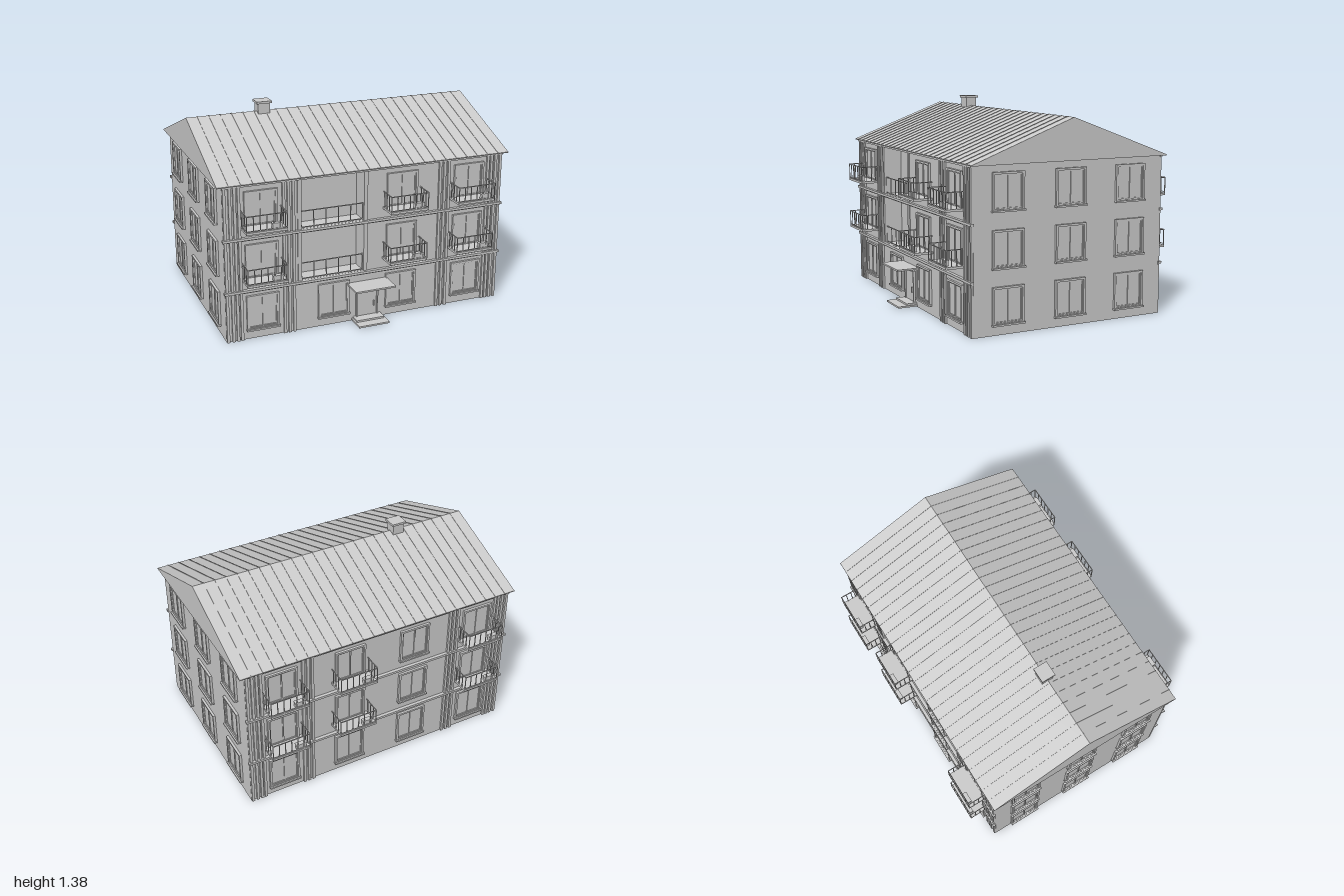
import * as THREE from 'three';

const gray = new THREE.MeshStandardMaterial({ color: 0xcccccc });
gray.name = 'plaster gray';

const FRONT = 0.654, BACK = -0.68, HALF = 0.963, EAVE = 1.04;
const FLOORS = [0.065, 0.412, 0.76]; // window bottoms

function add(parent, name, geometry) {
  const mesh = new THREE.Mesh(geometry, gray);
  mesh.name = name;
  parent.add(mesh);
  return mesh;
}

// box given by its limits
function box(parent, name, x0, x1, y0, y1, z0, z1) {
  const mesh = add(parent, name, new THREE.BoxGeometry(x1 - x0, y1 - y0, z1 - z0));
  mesh.position.set((x0 + x1) / 2, (y0 + y1) / 2, (z0 + z1) / 2);
  return mesh;
}

function rect(Type, x0, x1, y0, y1) {
  return new Type([[x0, y0], [x1, y0], [x1, y1], [x0, y1]].map(p => new THREE.Vector2(...p)));
}

// rectangular panel with rectangular holes
function panel(parent, name, outer, holes, depth) {
  const shape = rect(THREE.Shape, ...outer);
  holes.forEach(h => shape.holes.push(rect(THREE.Path, ...h)));
  return add(parent, name, new THREE.ExtrudeGeometry(shape, { depth, bevelEnabled: false }));
}

function group(parent, name, x = 0, y = 0, z = 0) {
  const g = new THREE.Group();
  g.name = name;
  g.position.set(x, y, z);
  parent.add(g);
  return g;
}

// double window on a wall plane; x is its middle, y its bottom
function windowUnit(wall, x, y) {
  const g = group(wall, 'window', x, y);
  panel(g, 'windowFrame', [-0.108, 0.108, 0, 0.235], [[-0.094, 0.094, 0.012, 0.222]], 0.016);
  panel(g, 'windowSash', [-0.094, 0.094, 0.012, 0.222],
    [[-0.087, -0.004, 0.019, 0.215], [0.004, 0.087, 0.019, 0.215]], 0.009);
  box(g, 'windowPane', -0.09, 0.09, 0.015, 0.22, 0, 0.003);
  box(g, 'windowSill', -0.112, 0.112, -0.005, 0.006, 0, 0.026);
}

// row of bars with a top rail along x
function railing(parent, x0, x1, y0, y1, z, bars) {
  const t = 0.0025;
  box(parent, 'topRail', x0, x1, y1 - 0.006, y1, z - t, z + t);
  box(parent, 'bottomRail', x0, x1, y0 + 0.006, y0 + 0.01, z - t, z + t);
  for (let i = 0; i <= bars; i++) {
    const x = x0 + t + (x1 - x0 - 2 * t) * i / bars;
    box(parent, 'railingBar', x - t, x + t, y0, y1, z - t, z + t);
  }
}

function balcony(wall, x, y) {
  const g = group(wall, 'balcony', x, y);
  const w = 0.132, d = 0.129, t = 0.0025;
  box(g, 'balconySlab', -w, w, -0.003, 0.012, 0, d);
  railing(g, -w, w, 0.012, 0.118, d - t, 6);
  for (const s of [-1, 1]) {
    const sx = s * (w - t);
    box(g, 'sideRail', sx - t, sx + t, 0.112, 0.118, 0, d);
    for (const z of [0.02, 0.055, 0.09])
      box(g, 'sideBar', sx - t, sx + t, 0.012, 0.118, z - t, z + t);
  }
  box(g, 'planter', 0.038, 0.103, 0.014, 0.045, d - 0.032, d - 0.006);
  box(g, 'planterRim', 0.035, 0.106, 0.045, 0.052, d - 0.035, d - 0.005);
}

// bands and upright strips shared by both long walls
function longWall(parent, name, z, turn) {
  const wall = group(parent, name, 0, 0, z);
  wall.rotation.y = turn;
  for (const y of [0.33, 0.681]) {
    box(wall, 'floorBand', -0.972, 0.972, y, y + 0.016, 0, 0.022);
    box(wall, 'floorBandLip', -0.966, 0.966, y - 0.006, y, 0, 0.014);
  }
  box(wall, 'topBand', -0.966, 0.966, 1.028, EAVE, 0, 0.016);
  for (const s of [-1, 1])
    for (const x of [0.952, 0.917, 0.887, 0.86, 0.572, 0.54, 0.508])
      box(wall, 'pilasterStrip', s * x - 0.009, s * x + 0.009, 0, EAVE, 0, 0.013);
  return wall;
}

export function createModel() {
  const model = new THREE.Group();
  model.name = 'apartmentHouse';

  // body, with two recessed loggias cut into the front layer
  const depth = 0.12;
  const loggias = [[0.347, 0.672], [0.698, 1.028]];
  box(model, 'body', -HALF, HALF, 0, EAVE, BACK, FRONT - depth);
  panel(model, 'frontLayer', [-HALF, HALF, 0, EAVE],
    loggias.map(([a, b]) => [-0.455, -0.03, a, b]), depth).position.z = FRONT - depth;

  const front = longWall(model, 'frontWall', FRONT, 0);
  const back = longWall(model, 'backWall', BACK, Math.PI);

  loggias.forEach(([y0]) => railing(front, -0.455, -0.03, y0, y0 + 0.118, -0.008, 5));
  box(front, 'loggiaPost', -0.03, -0.004, 0.347, EAVE, 0, 0.008);
  box(front, 'loggiaPost', -0.481, -0.455, 0.347, EAVE, 0, 0.008);

  // windows and balconies of the long walls
  FLOORS.forEach((y, floor) => {
    for (const x of [-0.72, -0.238, 0.238, 0.72]) {
      if (floor === 0 || x !== -0.238) windowUnit(front, x, y);
      windowUnit(back, x, y);
      if (floor > 0 && x !== -0.238) balcony(front, x, y);
      if (floor > 0 && x !== 0.238) balcony(back, x, y);
    }
  });

  // end walls
  for (const s of [-1, 1]) {
    const end = group(model, s > 0 ? 'leftWall' : 'rightWall', s * HALF, 0, -0.012);
    end.rotation.y = s * Math.PI / 2;
    for (const y of FLOORS)
      for (const x of [-0.435, 0, 0.435]) windowUnit(end, x, y);
  }

  // entrance
  const entrance = group(model, 'entrance', 0, 0, FRONT);
  panel(entrance, 'doorFrame', [-0.08, 0.075, 0.015, 0.24], [[-0.07, 0.065, 0.02, 0.23]], 0.016);
  box(entrance, 'door', -0.07, 0.065, 0.02, 0.23, 0, 0.006);
  box(entrance, 'doorHandle', 0.042, 0.048, 0.09, 0.125, 0.006, 0.02);
  box(entrance, 'lowerStep', -0.11, 0.105, 0.004, 0.015, 0, 0.136);
  box(entrance, 'upperStep', -0.1, 0.095, 0.015, 0.027, 0, 0.072);
  box(entrance, 'canopy', -0.142, 0.138, 0.262, 0.273, 0, 0.154);

  // gable roof as a solid prism along x
  const z0 = -0.705, z1 = 0.68, ridgeZ = -0.012, ridgeY = 1.305, eaveY = 1.046;
  const profile = new THREE.Shape([[-z1, EAVE], [-z0, EAVE], [-z0, eaveY], [-ridgeZ, ridgeY], [-z1, eaveY]]
    .map(p => new THREE.Vector2(...p)));
  const roof = add(model, 'roof', new THREE.ExtrudeGeometry(profile, { depth: 2, bevelEnabled: false }));
  roof.rotation.y = Math.PI / 2;
  roof.position.x = -1;

  // low standing seams on both slopes
  for (const edge of [z0, z1]) {
    const run = edge - ridgeZ, drop = ridgeY - eaveY;
    for (let i = 1; i < 26; i++) {
      const seam = add(model, 'roofSeam', new THREE.BoxGeometry(0.005, 0.006, Math.hypot(run, drop)));
      seam.position.set(-1 + i * 2 / 26, (ridgeY + eaveY) / 2, (edge + ridgeZ) / 2);
      seam.rotation.x = Math.atan2(drop, run > 0 ? run : -run) * Math.sign(run);
    }
  }

  // chimney
  box(model, 'chimney', -0.521, -0.439, 1.26, 1.362, -0.053, 0.025);
  box(model, 'chimneyCap', -0.532, -0.428, 1.36, 1.375, -0.062, 0.034);
  return model;
}
